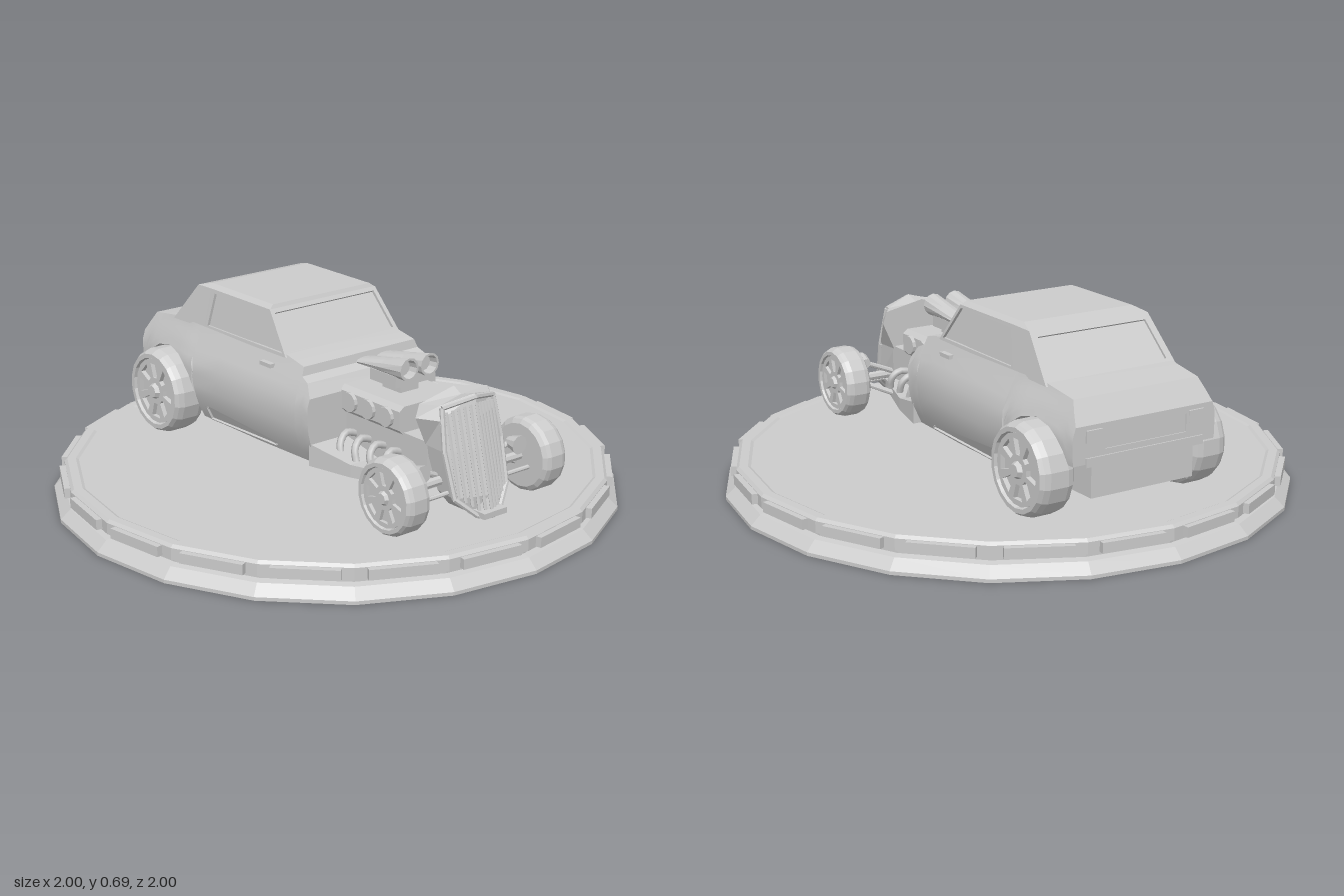
import * as THREE from 'three';
import { toCreasedNormals } from 'three/addons/utils/BufferGeometryUtils.js';

const flat = new THREE.MeshStandardMaterial({ color: 0xcccccc, flatShading: true });
const smooth = new THREE.MeshStandardMaterial({ color: 0xcccccc });
const V = (x, y, z) => new THREE.Vector3(x, y, z);

function add(parent, name, geo, x = 0, y = 0, z = 0, mat = flat) {
  const m = new THREE.Mesh(geo, mat);
  m.name = name;
  m.position.set(x, y, z);
  parent.add(m);
  return m;
}
const box = (w, h, d) => new THREE.BoxGeometry(w, h, d);

function fromTriangles(tris) {
  const g = new THREE.BufferGeometry().setFromPoints(tris);
  g.computeVertexNormals();
  return g;
}

// Closed solid through rings of equal point count; winding is fixed by signed volume
function loft(rings) {
  const t = [], n = rings[0].length;
  for (let i = 0; i < rings.length - 1; i++)
    for (let j = 0; j < n; j++) {
      const k = (j + 1) % n, a = rings[i], b = rings[i + 1];
      t.push(a[j], a[k], b[k], a[j], b[k], b[j]);
    }
  const cap = (r, flip) => {
    const c = r.reduce((s, p) => s.add(p), V(0, 0, 0)).divideScalar(n);
    for (let j = 0; j < n; j++) {
      const k = (j + 1) % n;
      t.push(c, r[flip ? k : j], r[flip ? j : k]);
    }
  };
  cap(rings[0], true);
  cap(rings[rings.length - 1], false);
  let vol = 0;
  for (let i = 0; i < t.length; i += 3) vol += t[i].dot(t[i + 1].clone().cross(t[i + 2]));
  return fromTriangles(vol < 0 ? t.reverse() : t);
}

// Four-cornered panel (counter-clockwise) with a sunken pane
function pane(c, margin, depth) {
  const t = [], quad = (a, b, d, e) => t.push(a, b, d, a, d, e);
  const n = c[1].clone().sub(c[0]).cross(c[2].clone().sub(c[0])).normalize();
  const toward = (p, q) => q.clone().sub(p).normalize().multiplyScalar(margin);
  const inner = c.map((p, i) => p.clone().add(toward(p, c[(i + 1) % 4])).add(toward(p, c[(i + 3) % 4])));
  const sunk = inner.map(p => p.clone().addScaledVector(n, -depth));
  for (let i = 0; i < 4; i++) {
    const k = (i + 1) % 4;
    quad(c[i], c[k], inner[k], inner[i]);
    quad(inner[i], inner[k], sunk[k], sunk[i]);
  }
  quad(...sunk);
  return fromTriangles(t);
}

function rod(parent, name, a, b, r, sides = 8) {
  const m = add(parent, name, new THREE.CylinderGeometry(r, r, a.distanceTo(b), sides));
  m.position.copy(a).add(b).multiplyScalar(0.5);
  m.quaternion.setFromUnitVectors(V(0, 1, 0), b.clone().sub(a).normalize());
}

// Piecewise linear lookup in [key, value] pairs
function lerpTable(tab, v) {
  if (v <= tab[0][0]) return tab[0][1];
  for (let i = 1; i < tab.length; i++) {
    const [a, p] = tab[i - 1], [b, q] = tab[i];
    if (v <= b) return p + (q - p) * (v - a) / (b - a);
  }
  return tab[tab.length - 1][1];
}

function wheel(parent, name, x, y, z, R, h) {
  const g = new THREE.Group();
  g.name = name;
  const pts = [[0, -h], [.85, -h], [.96, -h * .8], [1, -h * .5], [1, h * .5], [.96, h * .8], [.9, h], [.8, h], [.76, h * .6], [0, h * .6]];
  const tire = new THREE.LatheGeometry(pts.map(([r, t]) => new THREE.Vector2(r * (r ? R : 0), t)), 18);
  add(g, 'tire', tire.rotateX(Math.PI / 2));
  // Rim disc with eight windows
  const s = new THREE.Shape().absarc(0, 0, R * .77, 0, Math.PI * 2);
  for (let i = 0; i < 8; i++) {
    const a = i * Math.PI / 4, p = (r, d) => new THREE.Vector2(Math.cos(a + d) * r * R, Math.sin(a + d) * r * R);
    s.holes.push(new THREE.Path([p(.32, -.2), p(.66, -.25), p(.66, .25), p(.32, .2)]));
  }
  add(g, 'rim', new THREE.ExtrudeGeometry(s, { depth: h * .25, bevelEnabled: false, curveSegments: 9 }), 0, 0, h * .6);
  add(g, 'hub', new THREE.CylinderGeometry(R * .14, R * .2, h * .25, 8).rotateX(Math.PI / 2), 0, 0, h * .95);
  g.position.set(x, y, z);
  if (z < 0) g.rotation.y = Math.PI;
  parent.add(g);
}

function buildBase(root) {
  const prof = [[0, 0], [1, 0], [1, .012], [.965, .045], [.94, .05], [.94, .06], [.96, .065], [.96, .105], [.95, .115], [.92, .115], [.91, .11], [0, .11]];
  add(root, 'displayBase', new THREE.LatheGeometry(prof.map(p => new THREE.Vector2(...p)), 20));
  for (let i = 0; i < 20; i++) {
    const a = (i + .5) * Math.PI / 10;
    add(root, 'rimBlock', box(.22, .035, .03), Math.sin(a) * .954, .086, Math.cos(a) * .954).rotation.y = a;
  }
}

function buildBody(car) {
  const top = [[-.8, .435], [-.75, .51], [-.61, .53], [-.1, .54], [.03, .54], [.13, .52], [.136, .49], [.17, .475], [.2, .43]];
  const width = [[.19, .255], [.25, .285], [.32, .302], [.4, .303], [.46, .282], [.515, .258], [.54, .25]];
  const plan = [[-.8, .92], [-.5, 1.01], [-.1, 1], [.2, .95]];
  const xs = [-.8, -.775, -.75, -.72, -.68, -.61, -.54, -.5, -.47, -.45, -.44, -.3, -.1, .03, .13, .136, .17, .2];
  const rings = xs.map(x => {
    // Underside follows the rear wheel arch
    const bottom = x < -.77 ? .31 : x < -.445 ? .255 + Math.sqrt(Math.max(0, .0295 - (x + .61) ** 2)) : .19;
    const t = lerpTable(top, x), side = [];
    for (let i = 0; i <= 8; i++) {
      const y = bottom + (t - bottom) * i / 8;
      side.push(V(x, y, lerpTable(width, y) * lerpTable(plan, x)));
    }
    return [...side, ...side.map(p => V(p.x, p.y, -p.z)).reverse()];
  });
  add(car, 'body', toCreasedNormals(loft(rings), .5), 0, 0, 0, smooth);
  add(car, 'underTray', box(.4, .2, .4), -.59, .29, 0);

  // Cabin: windows, quarter panels and roof
  for (const s of [1, -1]) {
    const c = list => { const q = list.map(([x, y, z]) => V(x, y, z * s)); return s > 0 ? q : q.reverse(); };
    add(car, 'sideWindow', pane(c([[-.43, .525, .256], [.04, .53, .254], [-.07, .672, .235], [-.4, .672, .235]]), .014, .01));
    add(car, 'quarterPanel', pane(c([[-.62, .52, .257], [-.43, .525, .256], [-.4, .672, .235], [-.49, .67, .235]]), .01, 0));
    add(car, 'sillRecess', pane(c([[-.37, .2, .276], [.03, .215, .285], [.03, .23, .292], [-.37, .255, .302]]), .004, .008));
    add(car, 'doorHandle', box(.06, .014, .02), -.04, .493, s * .272);
    add(car, 'tailLight', box(.015, .04, .06), -.8, .4, s * .2);
  }
  add(car, 'windshield', pane([V(.04, .53, .254), V(.04, .53, -.254), V(-.07, .672, -.235), V(-.07, .672, .235)], .016, .01));
  add(car, 'rearWindow', pane([V(-.62, .52, -.257), V(-.62, .52, .257), V(-.49, .67, .235), V(-.49, .67, -.235)], .025, .008));
  const roofRing = (x0, x1, y, z) => [V(x0, y, z), V(x1, y, z), V(x1, y, -z), V(x0, y, -z)];
  add(car, 'roof', loft([roofRing(-.49, -.07, .67, .235), roofRing(-.43, -.078, .685, .215)]));
  add(car, 'trunkPanel', pane([V(-.806, .34, -.17), V(-.806, .34, .17), V(-.806, .425, .17), V(-.806, .425, -.17)], .012, .004));
  add(car, 'rearBumper', box(.03, .03, .46), -.79, .315, 0);
}

function buildEngine(car) {
  const rail = (x, z, y0, y1) => [V(x, y0, z), V(x, y1, z), V(x, y1, -z), V(x, y0, -z)];
  add(car, 'chassis', loft([rail(.19, .275, .19, .27), rail(.36, .235, .19, .235), rail(.62, .15, .2, .235)]));
  add(car, 'engineBlock', box(.42, .13, .24), .4, .295, 0);
  add(car, 'cylinderHead', loft([[.355, .125], [.37, .14], [.435, .14], [.45, .12]].map(([y, z]) =>
    [V(.19, y, z), V(.495, y, z), V(.495, y, -z), V(.19, y, -z)])));
  add(car, 'intake', box(.13, .04, .14), .33, .495, 0);
  add(car, 'intakeStem', box(.09, .04, .08), .34, .46, 0);
  for (const s of [1, -1]) {
    for (let i = 0; i < 3; i++)
      add(car, 'valvePort', new THREE.CylinderGeometry(.034, .034, .02, 12).rotateX(Math.PI / 2), .25 + i * .092, .405, s * .143);
    for (let i = 0; i < 4; i++) {
      const x = .26 + i * .076;
      const path = new THREE.CatmullRomCurve3([V(x - .015, .285, s * .11), V(x - .01, .3, s * .165), V(x, .275, s * .195), V(x + .015, .235, s * .205 - s * i * .004)]);
      add(car, 'exhaustPipe', new THREE.TubeGeometry(path, 8, .013, 7), 0, 0, 0, smooth);
    }
    // Air scoop, low at the back and round at the open mouth
    const mouth = [[.21, .012], [.33, .026], [.435, .04], [.435, .032], [.4, .028]].map(([x, ry], i) =>
      Array.from({ length: 12 }, (_, j) => {
        const a = j * Math.PI / 6, rz = i > 2 ? .032 : .04;
        return V(x, .525 + (x - .21) * .09 + Math.sin(a) * ry, s * .045 + Math.cos(a) * rz);
      }));
    add(car, 'airScoop', loft(mouth));
  }
}

function buildRadiator(car) {
  const frontX = y => .7 + (.52 - y) * .25;
  // Rows: height, half width at front, half width at back, drop at corners
  const rows = [[.135, .05, .05, -.005], [.2, .115, .1, 0], [.35, .125, .12, 0], [.45, .125, .165, 0], [.525, .11, .15, .03]];
  add(car, 'radiatorShell', loft(rows.map(([y, f, b, d]) => {
    const fx = frontX(y), bx = y < .3 ? .64 : .6;
    return [V(bx, y, 0), V(bx, y - d, b), V(fx - .045, y - d, f), V(fx, y, 0), V(fx - .045, y - d, -f), V(bx, y - d, -b)];
  })));
  for (let i = -5; i <= 5; i++) {
    const z = i * .02, k = Math.abs(i) * .0075, lo = .155 + Math.max(0, Math.abs(i) - 2) * .015, hi = .495 - Math.abs(i) * .004;
    rod(car, 'grilleBar', V(frontX(lo) - k, lo, z), V(frontX(hi) - k, hi, z), .006, 6);
  }
  // Rim around the grille
  const edge = [[.515, 0], [.49, .112], [.35, .125], [.2, .115], [.14, .05], [.135, 0]];
  for (const s of [1, -1])
    for (let i = 0; i < 5; i++) {
      const [p, q] = [edge[i], edge[i + 1]].map(([y, z]) => V(frontX(y) - z * .37, y, z * s));
      rod(car, 'grilleRim', p, q, .009, 6);
    }
  add(car, 'frontSpoiler', box(.08, .02, .1), .77, .145, 0);
}

function buildRunningGear(car) {
  for (const s of [1, -1]) {
    wheel(car, 'rearWheel', -.61, .262, s * .3, .157, .066);
    wheel(car, 'frontWheel', .657, .24, s * .303, .13, .05);
    add(car, 'headlight', new THREE.CylinderGeometry(.033, .018, .05, 10).rotateZ(-Math.PI / 2), .67, .295, s * .215);
    rod(car, 'headlightBracket', V(.65, .29, s * .2), V(.64, .25, s * .1), .01);
    rod(car, 'radiusRod', V(.66, .225, s * .235), V(.45, .215, s * .18), .01);
    rod(car, 'steeringArm', V(.7, .21, s * .26), V(.7, .21, s * .1), .008);
  }
  rod(car, 'frontAxle', V(.657, .24, -.3), V(.657, .24, .3), .016);
  rod(car, 'rearAxle', V(-.61, .262, -.3), V(-.61, .262, .3), .025);
}

export function createModel() {
  const root = new THREE.Group(), car = new THREE.Group();
  root.name = 'displayModel';
  car.name = 'car';
  root.add(car);
  buildBase(root);
  buildBody(car);
  buildEngine(car);
  buildRadiator(car);
  buildRunningGear(car);
  return root;
}
